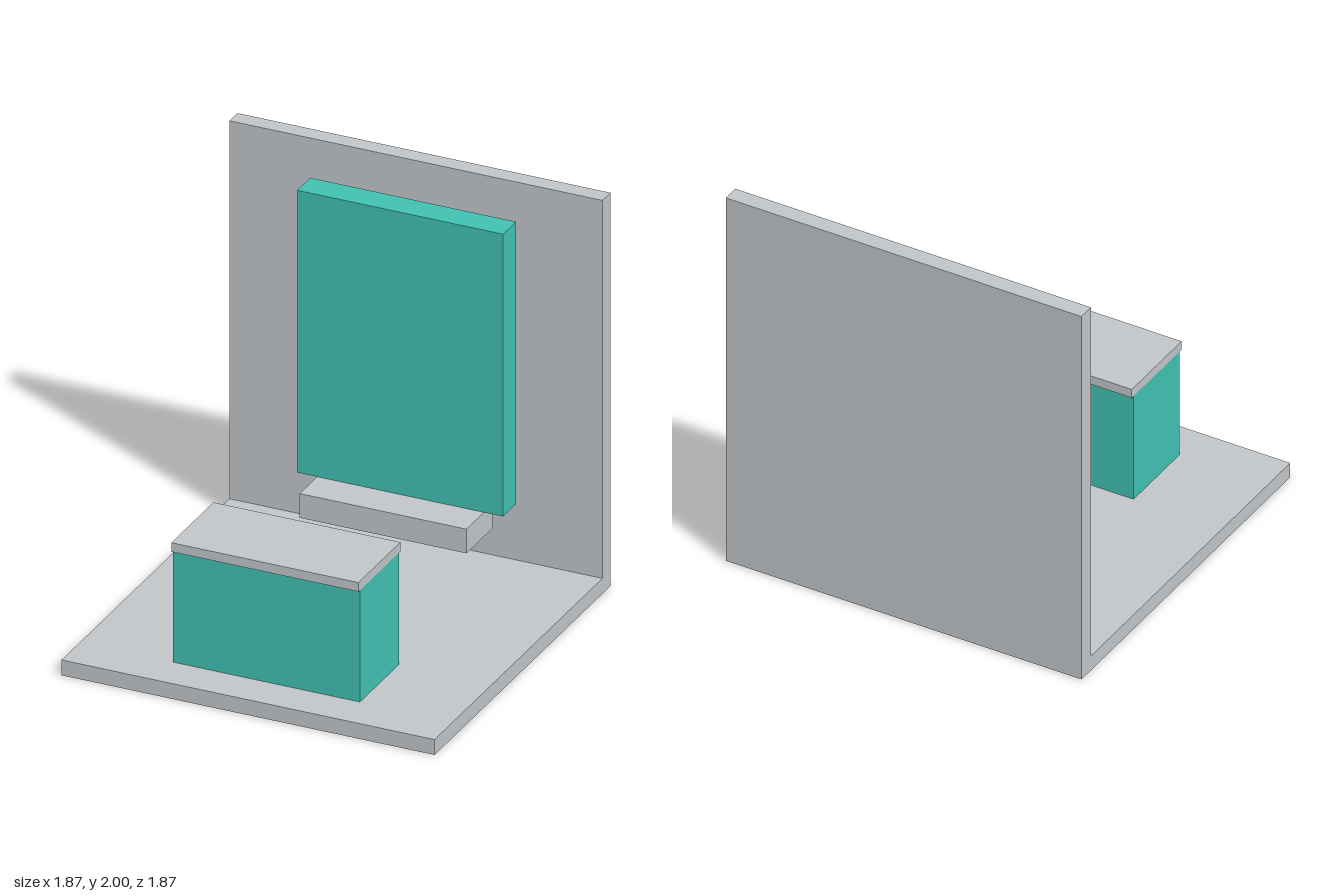
import * as THREE from 'three';

export function createModel() {
  const group = new THREE.Group();
  const grey = new THREE.MeshStandardMaterial({ color: 0xc2c6c9 });
  grey.name = 'light grey';
  const teal = new THREE.MeshStandardMaterial({ color: 0x41c1b3 });
  teal.name = 'teal';

  // Box centred on x, given its width and its y and z ranges
  function addBox(name, material, width, [y0, y1], [z0, z1]) {
    const mesh = new THREE.Mesh(new THREE.BoxGeometry(width, y1 - y0, z1 - z0), material);
    mesh.position.set(0, (y0 + y1) / 2, (z0 + z1) / 2);
    mesh.name = name;
    group.add(mesh);
  }

  // Floor and back wall: one L-shaped profile (z, y) extruded across the width
  const half = 0.935, floorTop = 0.078, wallFront = -0.85;
  const profile = new THREE.Shape([
    [-half, 0], [half, 0], [half, floorTop],
    [wallFront, floorTop], [wallFront, 2], [-half, 2],
  ].map(([z, y]) => new THREE.Vector2(z, y)));
  const shell = new THREE.ExtrudeGeometry(profile, { depth: 2 * half, bevelEnabled: false });
  shell.translate(0, 0, -half);
  shell.rotateY(-Math.PI / 2);
  const booth = new THREE.Mesh(shell, grey);
  booth.name = 'floorAndBackWall';
  group.add(booth);

  // Display panel floating in front of the wall, with the ledge beneath it
  addBox('displayPanel', teal, 1.033, [0.38, 1.815], [-0.819, -0.681]);
  addBox('panelLedge', grey, 0.836, [0.254, 0.377], [-0.776, -0.5]);

  // Counter with an overhanging top
  addBox('counterBody', teal, 0.937, [floorTop, 0.647], [0.326, 0.739]);
  addBox('counterTop', grey, 0.938, [0.647, 0.693], [0.309, 0.756]);

  return group;
}
